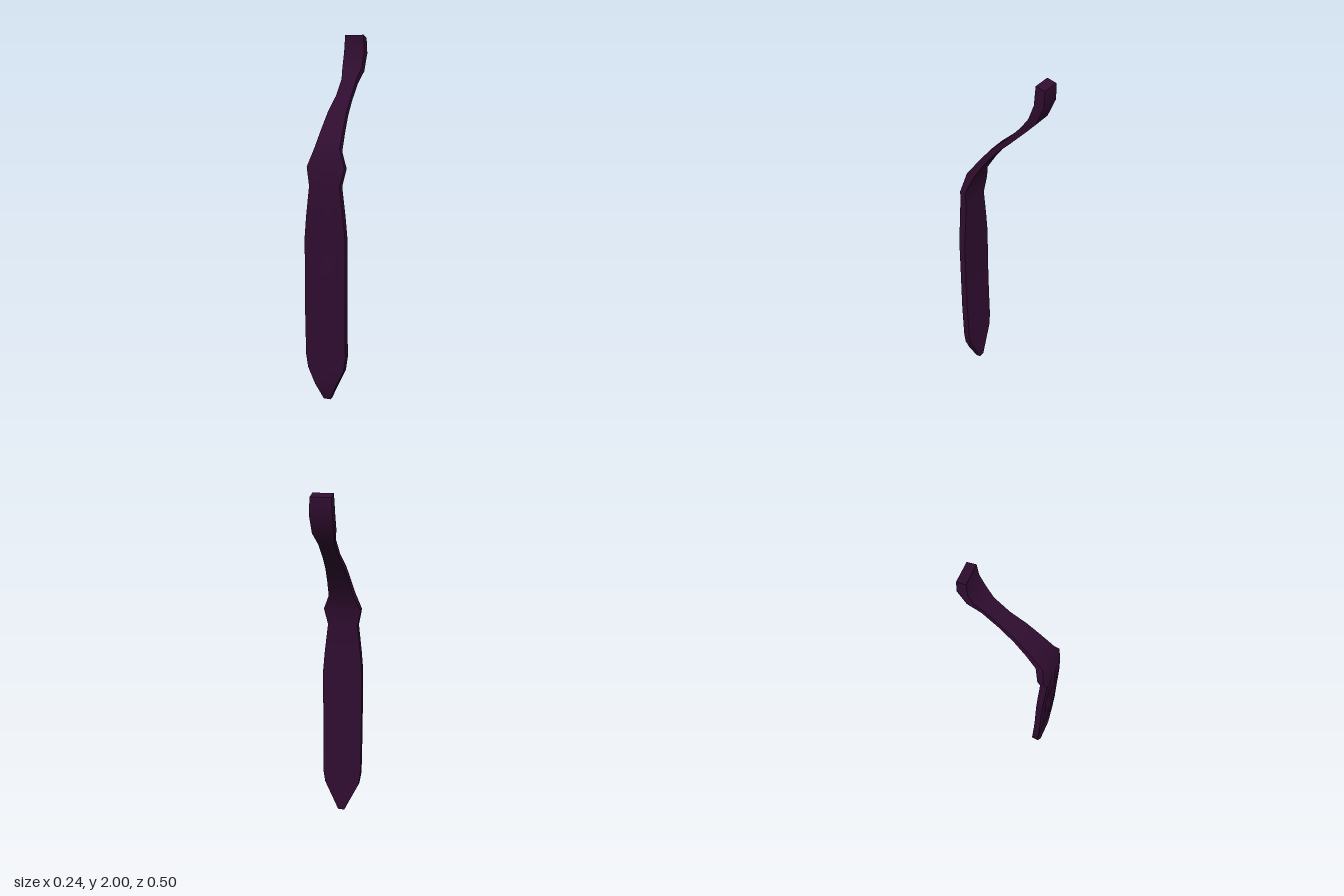
import * as THREE from 'three';
import { toCreasedNormals } from 'three/addons/utils/BufferGeometryUtils.js';

// Sections from tip to top: [half width, front y, front z, back y, back z, centre bulge, side bulge]
const SECTIONS = [
  [0.02, 0, 0.21, 0, 0.183, 0, 0],
  [0.062, 0.09, 0.234, 0.09, 0.186, 0, 0],
  [0.105, 0.18, 0.23, 0.18, 0.19, 0, 0],
  [0.117, 0.255, 0.23, 0.255, 0.192, 0, 0],
  [0.118, 0.48, 0.235, 0.48, 0.198, 0.005, 0.005],
  [0.118, 0.63, 0.235, 0.63, 0.2, 0.005, 0.005],
  [0.118, 0.69, 0.235, 0.69, 0.2, 0.016, 0.007],
  [0.118, 0.76, 0.235, 0.76, 0.2, 0.002, 0.004],
  [0.117, 0.92, 0.236, 0.92, 0.2, 0.004, 0.004],
  [0.107, 1.03, 0.238, 1.03, 0.2, 0.012, 0.006],
  [0.087, 1.2, 0.24, 1.2, 0.2, 0, 0],
  [0.108, 1.3, 0.222, 1.295, 0.19, 0, 0],
  [0.072, 1.4, 0.2, 1.38, 0.162, 0, 0],
  [0.063, 1.495, 0.128, 1.475, 0.1, 0, 0],
  [0.054, 1.585, 0.055, 1.565, 0.03, 0, 0],
  [0.045, 1.665, -0.035, 1.645, -0.055, 0, 0],
  [0.044, 1.755, -0.117, 1.73, -0.14, 0, 0],
  [0.058, 1.82, -0.165, 1.8, -0.207, 0, 0],
  [0.06, 1.9, -0.195, 1.9, -0.25, 0, 0],
  [0.055, 2.0, -0.2, 1.985, -0.25, 0, 0],
];
const COLUMNS = [-1, -0.6, -0.3, 0, 0.3, 0.6, 1];

// Closed ring around one section: front left to right, then back right to left
function ring([w, fy, fz, by, bz, centre, side]) {
  const bulge = (u) => (u === 0 ? centre : Math.abs(u) === 0.6 ? side : 0);
  const front = COLUMNS.map((u) => [u * w, fy, fz + bulge(u)]);
  const back = [...COLUMNS].reverse().map((u) => [u * w, by, bz]);
  return [...front, ...back];
}

function loft(sections) {
  const rings = sections.map(ring);
  const n = rings[0].length;
  const last = (rings.length - 1) * n;
  const index = [];
  for (let i = 0; i < rings.length - 1; i++) {
    for (let j = 0; j < n; j++) {
      const a = i * n + j;
      const b = i * n + ((j + 1) % n);
      index.push(a, b, b + n, a, b + n, a + n);
    }
  }
  // End caps
  for (let j = 0; j < COLUMNS.length - 1; j++) {
    const k = n - 1 - j;
    index.push(j, k, k - 1, j, k - 1, j + 1);
    index.push(last + j, last + j + 1, last + k - 1, last + j, last + k - 1, last + k);
  }
  const geometry = new THREE.BufferGeometry();
  geometry.setAttribute('position', new THREE.Float32BufferAttribute(rings.flat(2), 3));
  geometry.setIndex(index);
  return toCreasedNormals(geometry, 0.7);
}

export function createModel() {
  const group = new THREE.Group();
  group.name = 'hangingStrap';
  const plum = new THREE.MeshStandardMaterial({ color: 0x300d30 });
  plum.name = 'dark plum';

  // Broad pointed blade, narrowing into the curved neck and thick top end
  const strap = new THREE.Mesh(loft(SECTIONS), plum);
  strap.name = 'strap';
  group.add(strap);
  return group;
}
